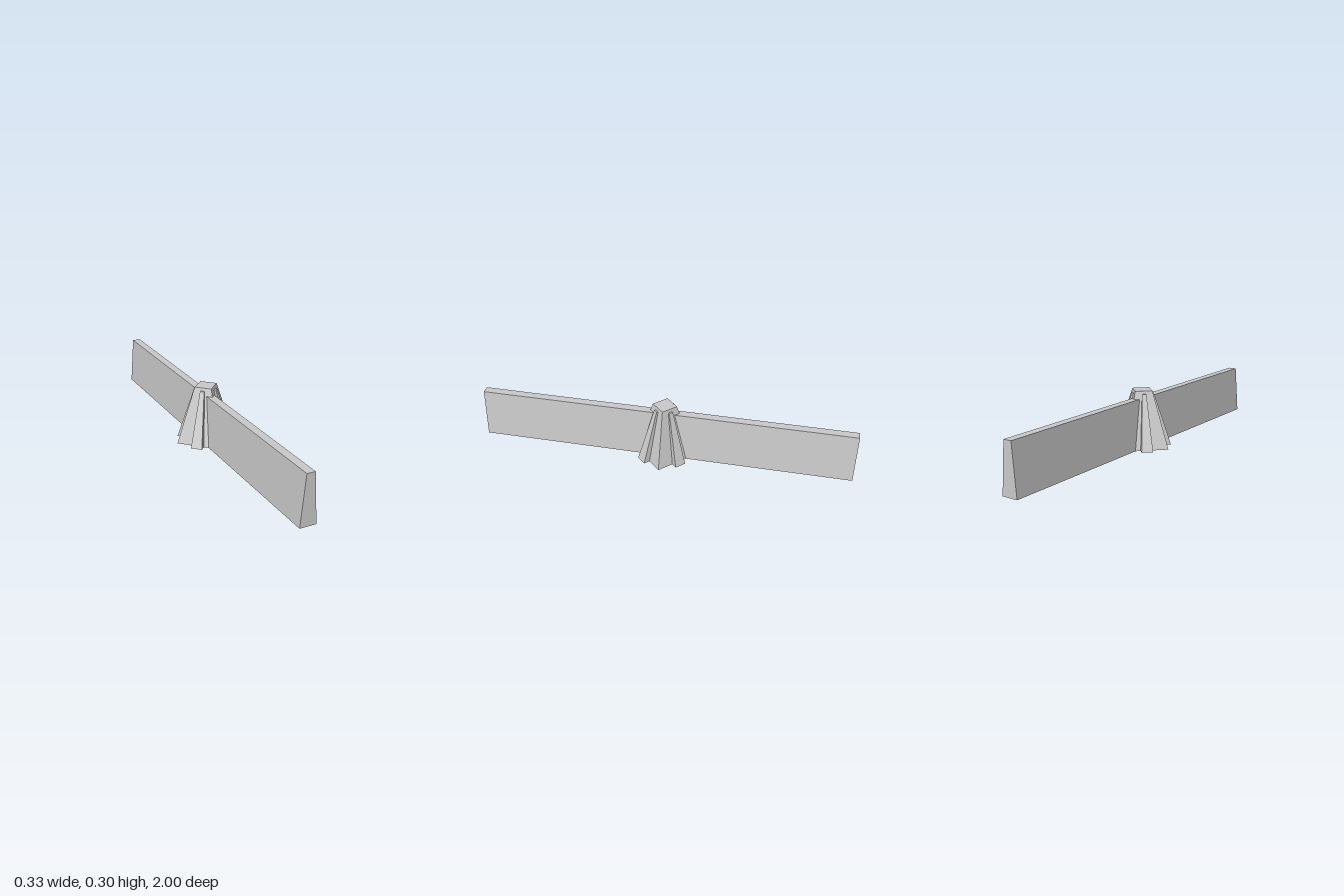
import * as THREE from 'three';

const material = new THREE.MeshStandardMaterial({ color: 0xcccccc, flatShading: true });

// Block standing on y = 0 with separate half sizes (x, z) at its base and top.
function taperedBlock(name, height, base, top, turn = 0) {
  const geometry = new THREE.BoxGeometry(2, height, 2);
  geometry.translate(0, height / 2, 0);
  const p = geometry.attributes.position;
  for (let i = 0; i < p.count; i++) {
    const half = p.getY(i) > height / 2 ? top : base;
    p.setX(i, p.getX(i) * half[0]);
    p.setZ(i, p.getZ(i) * half[1]);
  }
  geometry.computeVertexNormals();
  const mesh = new THREE.Mesh(geometry, material);
  mesh.name = name;
  mesh.rotation.y = turn;
  return mesh;
}

export function createModel() {
  const model = new THREE.Group();
  model.name = 'wallWithPost';

  // Long wall with sloping sides and upright ends
  model.add(taperedBlock('wall', 0.262, [0.043, 1], [0.022, 1]));

  // Square post turned to a diamond plan
  model.add(taperedBlock('post', 0.303, [0.118, 0.118], [0.0453, 0.0453], Math.PI / 4));

  // Two crossing diagonal buttresses
  for (const side of [-1, 1]) {
    model.add(taperedBlock('buttress', 0.287, [0.03, 0.151], [0.011, 0.059], side * Math.PI / 4));
  }
  return model;
}
